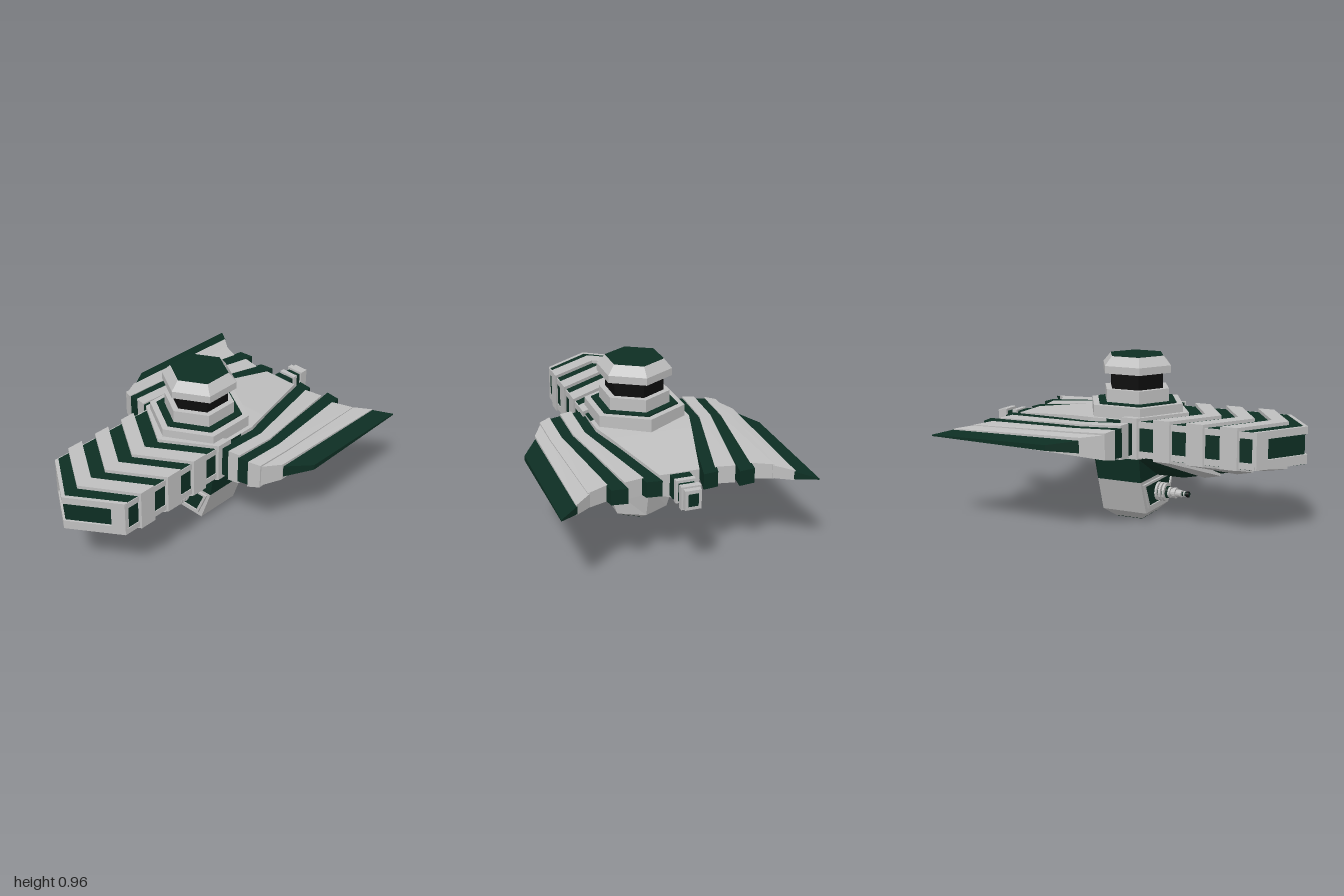
import * as THREE from 'three';

const mat = (name, color) => Object.assign(new THREE.MeshStandardMaterial({ color }), { name });

export function createModel() {
  const grey = mat('light grey', 0xbfbfbf);
  const green = mat('dark green', 0x0d2e23);
  const black = mat('black', 0x0c0c0c);
  const model = new THREE.Group();
  model.name = 'spaceship';

  const add = (name, geometry, material, parent = model) => {
    const flat = geometry.index ? geometry.toNonIndexed() : geometry;
    flat.computeVertexNormals();
    const mesh = new THREE.Mesh(flat, material);
    mesh.name = name;
    parent.add(mesh);
    return mesh;
  };

  // Joins rings of [x, y, z] points into a closed, faceted solid facing outwards
  const loft = (rings) => {
    const tris = [];
    const n = rings[0].length;
    for (let r = 0; r < rings.length - 1; r++) {
      for (let i = 0; i < n; i++) {
        const j = (i + 1) % n;
        const [a, b, c, d] = [rings[r][i], rings[r][j], rings[r + 1][j], rings[r + 1][i]];
        tris.push([a, b, c], [a, c, d]);
      }
    }
    const last = rings[rings.length - 1];
    for (let i = 1; i < n - 1; i++) {
      tris.push([rings[0][0], rings[0][i + 1], rings[0][i]], [last[0], last[i], last[i + 1]]);
    }
    const v = (p) => new THREE.Vector3(...p);
    const volume = tris.reduce((s, [a, b, c]) => s + v(a).dot(v(b).cross(v(c))), 0);
    if (volume < 0) tris.forEach((t) => t.reverse());
    return new THREE.BufferGeometry().setAttribute('position', new THREE.Float32BufferAttribute(tris.flat(2), 3));
  };

  const box = (name, material, w, h, d, x, y, z) =>
    add(name, new THREE.BoxGeometry(w, h, d).translate(x, y, z), material);

  // Neck: arrow-shaped slices with a keel below; the middle leads the sides
  const LEAD = 0.19;
  const keelAt = (z) => Math.min(0.41, Math.max(0.25, 0.41 - 0.216 * (1 - z)));
  const arrowRing = (z, grow, keel = true) => {
    const w = 0.28 + grow, top = 0.62 + grow * 1.3, low = 0.412 - grow * 0.6;
    const mid = z + LEAD;
    const k = keel ? keelAt(mid) - grow : low;
    return [[0, top, mid], [w, top, z], [w, low, z], [0, k, mid], [-w, low, z], [-w, top, z]];
  };
  add('neckHull', loft([0.795, 0.07, -0.1].map((z) => arrowRing(z, 0))), green);
  for (let i = 0; i < 4; i++) {
    const z = i * 0.2;
    add('neckBand', loft([arrowRing(z, 0.015, i > 0), arrowRing(z + 0.1, 0.015, i > 0)]), grey);
  }

  // Grey rails along the neck sides
  for (const s of [-1, 1]) {
    for (const y of [0.432, 0.602]) box('neckRail', grey, 0.008, 0.036, 0.72, s * 0.281, y, 0.44);
  }

  // Swept frame around the bow panel, one half mirrored
  const bow = new THREE.Shape([
    [0, 0.412], [0.283, 0.412], [0.283, 0.622], [0, 0.622], [0, 0.58], [0.22, 0.58], [0.22, 0.465], [0, 0.465],
  ].map((p) => new THREE.Vector2(...p)));
  const bowGeometry = new THREE.ExtrudeGeometry(bow, { depth: 0.025, bevelEnabled: false });
  const bp = bowGeometry.attributes.position;
  for (let i = 0; i < bp.count; i++) bp.setZ(i, 0.975 + bp.getZ(i) - bp.getX(i) * (LEAD / 0.28));
  for (const s of [-1, 1]) add('bowFrame', bowGeometry, grey).scale.x = s;

  // Centre hull narrowing to the stern: z, half width, top, side bottom, keel
  const hullRings = [
    [0.05, 0.28, 0.62, 0.41, 0.4], [-0.2, 0.28, 0.62, 0.42, 0.35],
    [-0.34, 0.24, 0.612, 0.425, 0.34], [-0.78, 0.112, 0.57, 0.45, 0.415],
  ];
  add('centreHull', loft(hullRings.map(([z, w, t, b, k]) => [[0, t, z], [w, t, z], [w, b, z], [0, k, z], [-w, b, z], [-w, t, z]])), grey);

  // Wing strips, each edge given as [x, z, half height]: front inner, front outer, back inner, back outer
  const strips = [
    [green, [0.27, 0.07, 0.09], [0.35, 0.07, 0.09], [0.115, -0.835, 0.045], [0.2, -0.825, 0.045]],
    [grey, [0.345, 0.075, 0.1], [0.415, 0.06, 0.097], [0.2, -0.78, 0.05], [0.31, -0.8, 0.05]],
    [green, [0.41, 0.065, 0.083], [0.48, 0.05, 0.08], [0.31, -0.86, 0.043], [0.4, -0.85, 0.043]],
    [grey, [0.48, 0.06, 0.086], [0.545, 0.03, 0.075], [0.4, -0.79, 0.047], [0.52, -0.84, 0.042]],
    [grey, [0.54, 0.03, 0.066], [0.605, -0.09, 0.052], [0.51, -0.84, 0.038], [0.605, -0.92, 0.028]],
    [green, [0.6, -0.09, 0.036], [0.705, -0.25, 0.016], [0.6, -0.92, 0.022], [0.705, -1, 0.004]],
  ];
  const CY = 0.52;
  const edge = (a, b) => [
    [a[0], CY + a[2], a[1]], [b[0], CY + b[2], b[1]], [b[0], CY - b[2], b[1]], [a[0], CY - a[2], a[1]],
  ];
  // The strips run straight first, then converge on the stern
  const bend = (f, b) => {
    const z = Math.min(-0.2, f[1] - 0.05);
    return [f[0], z, THREE.MathUtils.lerp(f[2], b[2], (f[1] - z) / (f[1] - b[1]))];
  };
  for (const s of [-1, 1]) {
    const wing = new THREE.Group();
    wing.name = s > 0 ? 'leftWing' : 'rightWing';
    wing.scale.x = s;
    model.add(wing);
    for (const [m, fi, fo, bi, bo] of strips) {
      add('wingStrip', loft([edge(fi, fo), edge(bend(fi, bi), bend(fo, bo)), edge(bi, bo)]), m, wing);
    }
  }

  // Six-sided turret: name, colour, bottom radius, top radius, bottom y, top y
  const turret = [
    ['turretBase', grey, 0.295, 0.295, 0.6, 0.688],
    ['turretBasePlate', green, 0.255, 0.255, 0.688, 0.696],
    ['turretCollar', grey, 0.207, 0.207, 0.69, 0.77],
    ['turretNeck', black, 0.17, 0.17, 0.76, 0.87],
    ['turretRim', grey, 0.219, 0.219, 0.862, 0.905],
    ['turretRoof', grey, 0.219, 0.172, 0.905, 0.958],
    ['turretRoofPlate', green, 0.17, 0.17, 0.957, 0.961],
  ];
  for (const [name, m, r0, r1, y0, y1] of turret) {
    add(name, new THREE.CylinderGeometry(r1, r0, y1 - y0, 6).translate(0, (y0 + y1) / 2, -0.045), m);
  }

  // Lower pod: y, half width, front z, side corner z, back z
  const podRing = ([y, w, f, s, b]) => [[w, y, f], [w, y, s], [0, y, b], [-w, y, s], [-w, y, f]];
  const pod = [
    [0.43, 0.252, 0.09, -0.185, -0.35], [0.25, 0.225, 0.09, -0.185, -0.315],
    [0.05, 0.153, 0.09, -0.19, -0.265], [0.003, 0.103, 0.04, -0.13, -0.19], [0, 0.1, 0.038, -0.128, -0.187],
  ].map(podRing);
  add('podTop', loft(pod.slice(0, 2)), green);
  add('podBody', loft(pod.slice(1, 4)), grey);
  add('podFloor', loft(pod.slice(3, 5)), green);

  // Framed panel on the pod front
  const trapezoid = (wTop, yTop, wLow, yLow) =>
    [[-wLow, yLow], [wLow, yLow], [wTop, yTop], [-wTop, yTop]].map((p) => new THREE.Vector2(...p));
  const frame = new THREE.Shape(trapezoid(0.2, 0.232, 0.133, 0.077));
  frame.holes.push(new THREE.Path(trapezoid(0.178, 0.218, 0.12, 0.09)));
  const extrude = (shape, depth) =>
    new THREE.ExtrudeGeometry(shape, { depth, bevelEnabled: false }).translate(0, 0, 0.088);
  add('podFrame', extrude(frame, 0.014), grey);
  add('podPanel', extrude(new THREE.Shape(trapezoid(0.18, 0.22, 0.122, 0.088)), 0.005), green);

  // Cannon: colour, radius, back z, front z
  const cannon = [
    [green, 0.036, 0.09, 0.165], [grey, 0.055, 0.095, 0.108], [grey, 0.055, 0.118, 0.131], [grey, 0.055, 0.141, 0.154],
    [grey, 0.022, 0.16, 0.25], [grey, 0.032, 0.168, 0.182], [grey, 0.032, 0.195, 0.215],
    [green, 0.012, 0.25, 0.297], [grey, 0.017, 0.262, 0.27], [black, 0.017, 0.28, 0.295],
  ];
  for (const [m, r, z0, z1] of cannon) {
    add('cannonRing', new THREE.CylinderGeometry(r, r, z1 - z0, 16).rotateX(Math.PI / 2).translate(0, 0.152, (z0 + z1) / 2), m);
  }

  // Stern boom of stacked blocks: colour, width, height, back z, front z
  const stern = [
    [green, 0.11, 0.12, -0.83, -0.76], [green, 0.085, 0.1, -0.92, -0.82], [grey, 0.11, 0.13, -0.872, -0.842],
    [grey, 0.11, 0.13, -0.95, -0.915], [grey, 0.09, 0.11, -0.98, -0.94],
  ];
  for (const [m, w, h, z0, z1] of stern) box('sternBlock', m, w, h, z1 - z0, 0, 0.505, (z0 + z1) / 2);
  box('sternPanel', green, 0.055, 0.07, 0.006, 0, 0.505, -0.98);

  return model;
}
